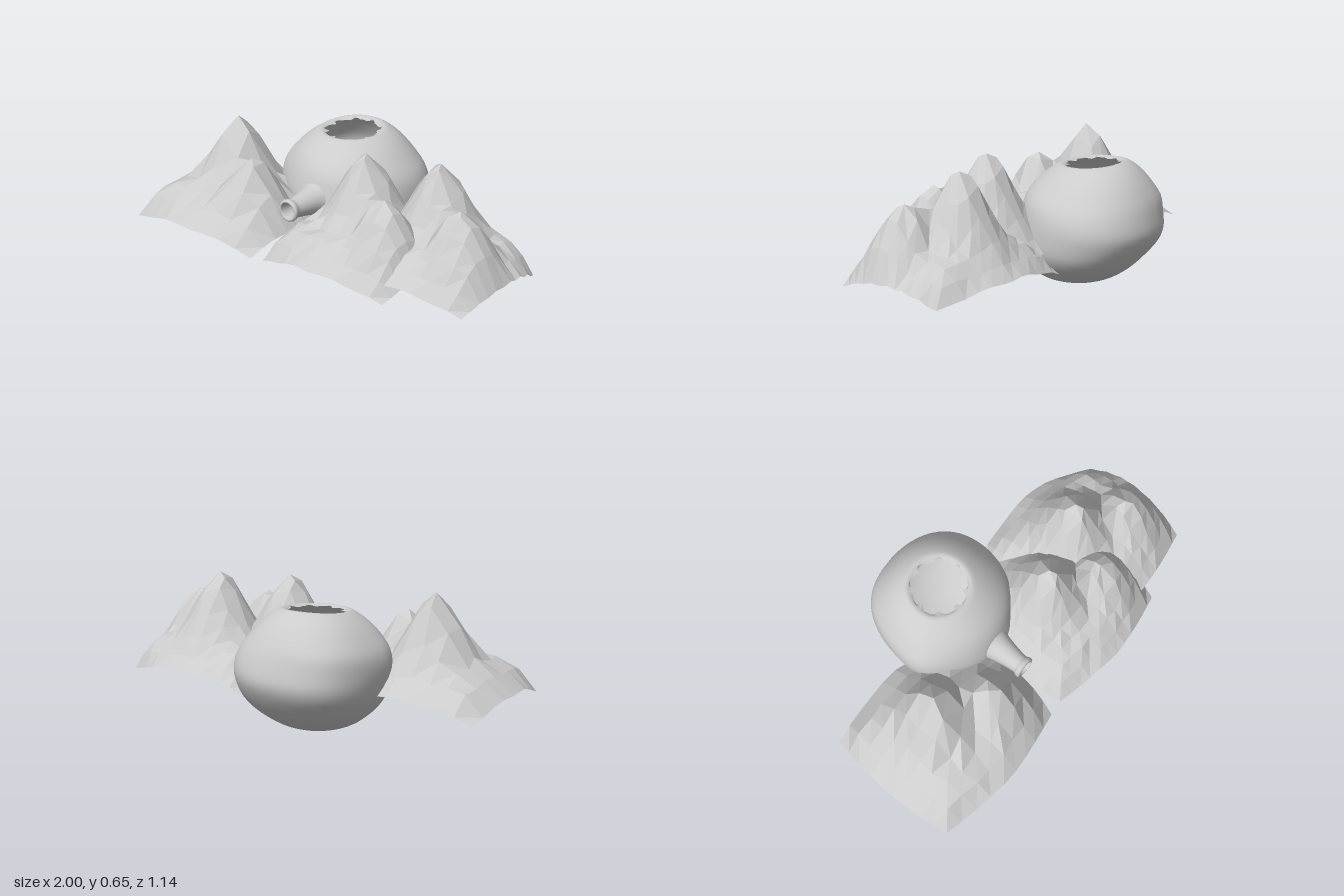
import * as THREE from 'three';
import { mergeVertices } from 'three/addons/utils/BufferGeometryUtils.js';

const smooth = THREE.MathUtils.smoothstep;
const rockMat = new THREE.MeshStandardMaterial({ color: 0xcccccc, flatShading: true, side: THREE.DoubleSide });
const potMat = new THREE.MeshStandardMaterial({ color: 0xcccccc, side: THREE.DoubleSide });

// Linear lookup in a list of [position, value] pairs
function lookup(table, t) {
  for (let i = 1; i < table.length; i++) {
    const [a, va] = table[i - 1], [b, vb] = table[i];
    if (t <= b) return va + (vb - va) * (t - a) / (b - a);
  }
  return -1;
}

// Mountain peaks, relative to the middle of a sheet
const PEAKS = [
  { x: -0.03, z: -0.05, slope: [[0, 0.655], [0.065, 0.625], [0.125, 0.5], [0.2, 0.37], [0.28, 0.25]] },
  { x: 0.19, z: 0.09, slope: [[0, 0.525], [0.06, 0.5], [0.13, 0.39], [0.2, 0.27]] },
];

// A thin open sheet of land with drooping corners and two peaks
function mountainSheet(name, cx, cz, hx, hz, segments) {
  const g = new THREE.PlaneGeometry(2, 2, segments, segments).rotateX(-Math.PI / 2);
  const p = g.attributes.position;
  const pts = [];
  for (let i = 0; i < p.count; i++) {
    const u = p.getX(i), v = p.getZ(i);
    // rounded outline: the back right corner is cut most, the back left least
    const cut = v > 0 ? 0.17 : u > 0 ? 0.36 : 0.05;
    const inner = 0.015 * (1 - u * u) * (1 - v * v);
    const x = hx * u * (1 - 0.1 * v * v) + inner * Math.sin(i * 2.3);
    const z = hz * v * (1 - cut * Math.pow(Math.abs(u), 1.5)) + inner * Math.cos(i * 3.1);
    pts.push({ x, z, u, v });
  }
  // put the nearest vertex exactly on each summit
  for (const k of PEAKS) {
    const near = pts.reduce((a, b) => Math.hypot(a.x - k.x, a.z - k.z) < Math.hypot(b.x - k.x, b.z - k.z) ? a : b);
    near.x = k.x;
    near.z = k.z;
  }
  pts.forEach(({ x, z, u, v }, i) => {
    const edge = Math.min(1 - Math.abs(u), 1 - Math.abs(v));
    let y = 0.215 + 0.14 * smooth(edge, -0.15, 0.45) - 0.025 - 0.075 * u * u * v * v;
    y += 0.005 * Math.sin(i * 1.7);
    if (edge > 0.01) for (const k of PEAKS) y = Math.max(y, lookup(k.slope, Math.hypot(x - k.x, z - k.z)));
    p.setXYZ(i, cx + x, y, cz + z);
  });
  g.computeVertexNormals();
  const mesh = new THREE.Mesh(g, rockMat);
  mesh.name = name;
  return mesh;
}

// Smooth normals across the lathe seam
function weld(g) {
  g.deleteAttribute('uv');
  g.deleteAttribute('normal');
  const out = mergeVertices(g, 1e-4);
  out.computeVertexNormals();
  return out;
}

// Smooth curve through [radius, height] pairs
const spline = (pairs, n) => new THREE.SplineCurve(pairs.map(([r, y]) => new THREE.Vector2(r, y))).getPoints(n);

// Lumpy round pot with a ragged hole in the top
function pot() {
  const rows = 40;
  const profile = spline([[0, 0], [0.07, 0.004], [0.14, 0.018], [0.21, 0.05], [0.275, 0.11], [0.32, 0.19], [0.341, 0.27],
    [0.341, 0.34], [0.322, 0.42], [0.28, 0.49], [0.235, 0.54], [0.19, 0.575], [0.155, 0.592], [0.13, 0.582]], rows);
  profile[0].set(0, 0);
  const g = new THREE.LatheGeometry(profile, 64);
  const p = g.attributes.position;
  const bump = (a, at, width) => Math.exp(-(((a - at) / width) ** 2));
  for (let i = 0; i < p.count; i++) {
    const x = p.getX(i), y = p.getY(i), z = p.getZ(i);
    const a = Math.atan2(x, z), row = i % (rows + 1);
    const side = smooth(y, 0, 0.2) * (1 - 0.6 * smooth(y, 0.42, 0.56));
    // squarish plan with two soft bulges, a few horizontal ripples
    let s = 1 + side * (0.08 * bump(a, 2.25, 0.6) + 0.08 * bump(a, -1.15, 0.35) + 0.04 * bump(a, -2.45, 0.4)
      + 0.01 * Math.sin(28 * y + 2 * a));
    if (row === rows) s += 0.09 * Math.sin(9 * a) + 0.06 * Math.sin(17 * a + 1);
    const cx = -0.13 - 0.03 * smooth(y, 0.1, 0.6);
    const cz = -0.16 - 0.065 * smooth(y, 0, 0.3);
    const tilt = 0.1 * z * smooth(y, 0.45, 0.6) * (0.5 + 0.5 * smooth(-z, -0.2, 0.2));
    p.setXYZ(i, cx + x * s, y - tilt, cz + z * s);
  }
  const mesh = new THREE.Mesh(weld(g), potMat);
  mesh.name = 'pot';
  return mesh;
}

// Short hollow spout pointing forward
function spout() {
  const profile = spline([[0.1, 0], [0.075, 0.05], [0.062, 0.1], [0.053, 0.15], [0.048, 0.19], [0.054, 0.205],
    [0.056, 0.22], [0.048, 0.228], [0.04, 0.22], [0.036, 0.15], [0.036, 0.08]], 30);
  const mesh = new THREE.Mesh(weld(new THREE.LatheGeometry(profile, 24)), potMat);
  mesh.rotation.x = Math.PI / 2;
  mesh.position.set(-0.135, 0.32, 0.065);
  mesh.name = 'spout';
  return mesh;
}

export function createModel() {
  const model = new THREE.Group();
  model.name = 'potAmongMountains';
  model.add(
    mountainSheet('rightMountains', -0.57, 0.18, 0.43, 0.39, 9),
    mountainSheet('middleMountains', 0.25, 0.18, 0.4, 0.38, 12),
    mountainSheet('leftMountains', 0.59, 0.06, 0.41, 0.385, 12),
    pot(),
    spout(),
  );
  return model;
}
